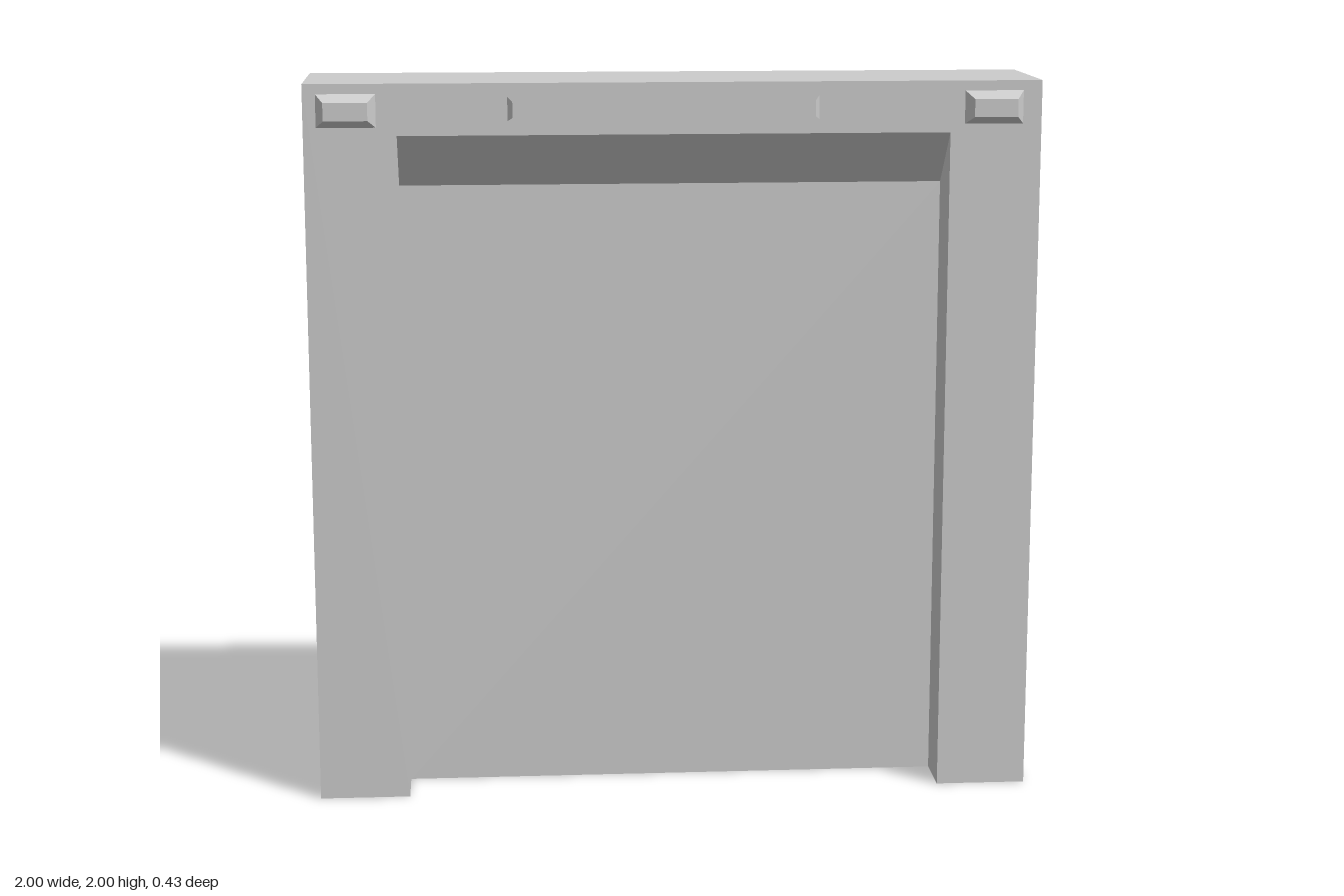
import * as THREE from 'three';

const W = 1, H = 2, FRONT = 0.18, BACK = -0.215;   // outer shell
const OW = 0.75, OH = 1.86, PH = 1.71, PZ = 0.03;  // opening and recessed panel

export function createModel() {
  const group = new THREE.Group();
  const grey = new THREE.MeshStandardMaterial({ color: 0xcccccc, side: THREE.DoubleSide });
  grey.name = 'plainGrey';

  const add = (name, geometry) => {
    const mesh = new THREE.Mesh(geometry, grey);
    mesh.name = name;
    group.add(mesh);
    return mesh;
  };

  // flat four-cornered sheets, corners anticlockwise seen from outside
  const sheets = (name, ...quads) => {
    const points = quads.flatMap(([a, b, c, d]) => [a, b, c, a, c, d]).flat();
    const g = new THREE.BufferGeometry();
    g.setAttribute('position', new THREE.Float32BufferAttribute(points, 3));
    g.computeVertexNormals();
    return add(name, g);
  };

  const flat = (points) =>
    new THREE.ShapeGeometry(new THREE.Shape(points.map(([x, y]) => new THREE.Vector2(x, y))));

  // front frame around the opening
  add('frontFrame', flat([[-W, 0], [-OW, 0], [-OW, OH], [OW, OH], [OW, 0], [W, 0], [W, H], [-W, H]])
    .translate(0, 0, FRONT));

  // floor, notched where the recess passes through it
  add('floor', flat([[-W, BACK], [W, BACK], [W, FRONT], [OW, FRONT], [OW, PZ], [-OW, PZ], [-OW, FRONT], [-W, FRONT]])
    .rotateX(Math.PI / 2));

  // roof and outer side walls; the back stays open
  sheets('roof', [[-W, H, FRONT], [W, H, FRONT], [W, H, BACK], [-W, H, BACK]]);
  sheets('leftWall', [[W, 0, FRONT], [W, 0, BACK], [W, H, BACK], [W, H, FRONT]]);
  sheets('rightWall', [[-W, 0, BACK], [-W, 0, FRONT], [-W, H, FRONT], [-W, H, BACK]]);

  // recess: back panel, sloped head and side reveals
  sheets('recessPanel', [[-OW, 0, PZ], [OW, 0, PZ], [OW, PH, PZ], [-OW, PH, PZ]]);
  sheets('recessSlope', [[-OW, PH, PZ], [OW, PH, PZ], [OW, OH, FRONT], [-OW, OH, FRONT]]);
  sheets('leftReveal', [[OW, 0, PZ], [OW, 0, FRONT], [OW, OH, FRONT], [OW, PH, PZ]]);
  sheets('rightReveal', [[-OW, 0, FRONT], [-OW, 0, PZ], [-OW, PH, PZ], [-OW, OH, FRONT]]);

  // bevelled blocks in the top corners
  const block = (name, cx) => {
    const g = new THREE.BoxGeometry(0.16, 0.09, 0.035).toNonIndexed();
    const p = g.attributes.position;
    for (let i = 0; i < p.count; i++) {
      if (p.getZ(i) > 0) p.setXY(i, p.getX(i) * 0.74, p.getY(i) * 0.54);
    }
    g.computeVertexNormals();
    add(name, g.translate(cx, 1.928, FRONT + 0.0175));
  };
  block('leftCornerBlock', 0.869);
  block('rightCornerBlock', -0.885);

  // slim bar between the blocks, with splayed ends and open top and bottom
  const z = 0.21;
  sheets('bar', [[-0.44, 1.909, z], [0.377, 1.909, z], [0.377, 1.952, z], [-0.44, 1.952, z]]);
  sheets('barEnds',
    [[0.377, 1.909, z], [0.39, 1.898, FRONT], [0.39, 1.963, FRONT], [0.377, 1.952, z]],
    [[-0.453, 1.898, FRONT], [-0.44, 1.909, z], [-0.44, 1.952, z], [-0.453, 1.963, FRONT]]);

  return group;
}
